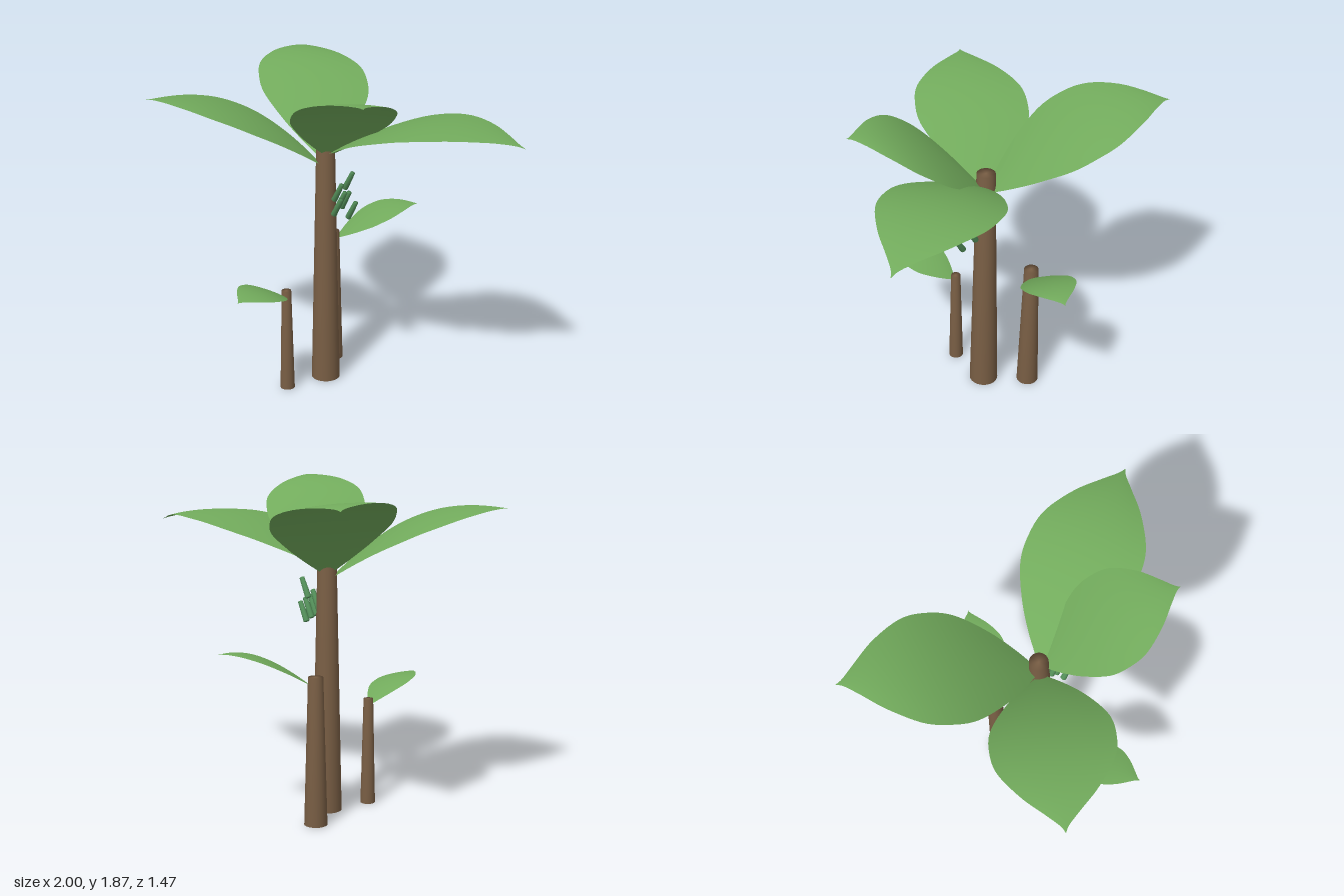
import * as THREE from 'three';
import { mergeVertices } from 'three/addons/utils/BufferGeometryUtils.js';

const mat = (color, side = THREE.FrontSide) => new THREE.MeshStandardMaterial({ color, side });
const bark = mat(0x7a5f45);
const leafGreen = mat(0x72ab5c, THREE.DoubleSide);
const fruitGreen = mat(0x54905a);

// leaf outline: x is the position along the leaf, y the share of its half-width
const outline = new THREE.SplineCurve([[0, 0.02], [0.1, 0.36], [0.22, 0.68], [0.37, 0.95], [0.5, 1],
  [0.63, 0.92], [0.78, 0.61], [0.89, 0.28], [0.96, 0.07], [1, 0]].map(p => new THREE.Vector2(...p)));

// broad leaf: a grid laid along an arching midrib (rise1, rise2 steer its height), with drooping edges
function makeLeaf(name, base, tip, rise1, rise2, halfWidth, twist = 0, droop = 0.02) {
  const a = new THREE.Vector3(...base), b = new THREE.Vector3(...tip);
  const rib = new THREE.CubicBezierCurve3(a, a.clone().lerp(b, 1 / 3).setY(rise1),
    a.clone().lerp(b, 2 / 3).setY(rise2), b);
  const across = new THREE.Vector3(a.z - b.z, 0, b.x - a.x).normalize();
  const geo = new THREE.PlaneGeometry(2, 1, 8, 48);
  const pos = geo.attributes.position;
  for (let i = 0; i < pos.count; i++) {
    const u = pos.getX(i), { x: t, y: w } = outline.getPoint(pos.getY(i) + 0.5);
    const p = rib.getPoint(t).addScaledVector(across, u * w * halfWidth);
    p.y += w * (twist * u - droop * u * u);
    pos.setXYZ(i, p.x, p.y, p.z);
  }
  geo.computeVertexNormals();
  const mesh = new THREE.Mesh(geo, leafGreen);
  mesh.name = name;
  return mesh;
}

// tapered cylinder between two points, shaded smoothly over its rims
function makeRod(name, from, to, rFrom, rTo, sides, material) {
  const a = new THREE.Vector3(...from), b = new THREE.Vector3(...to);
  const axis = b.clone().sub(a);
  const cylinder = new THREE.CylinderGeometry(rTo, rFrom, axis.length(), sides);
  cylinder.deleteAttribute('normal').deleteAttribute('uv');
  const geo = mergeVertices(cylinder);
  geo.computeVertexNormals();
  const mesh = new THREE.Mesh(geo, material);
  mesh.position.copy(a).lerp(b, 0.5);
  mesh.quaternion.setFromUnitVectors(new THREE.Vector3(0, 1, 0), axis.normalize());
  mesh.name = name;
  return mesh;
}

export function createModel() {
  const plant = new THREE.Group();
  plant.name = 'bananaPlant';

  // trunks: x, z, height, base radius, top radius
  const trunks = [
    ['mainTrunk', -0.11, -0.07, 1.49, 0.085, 0.053],
    ['backTrunk', -0.29, -0.27, 0.84, 0.065, 0.042],
    ['frontTrunk', -0.14, 0.2, 0.625, 0.043, 0.028],
  ];
  for (const [name, x, z, h, r0, r1] of trunks)
    plant.add(makeRod(name, [x, 0, z], [x, h, z], r0, r1, 24, bark));

  // crown of four large leaves, one small leaf on each side shoot
  plant.add(
    makeLeaf('backRightLeaf', [-0.11, 1.36, -0.07], [-1, 1.81, -0.61], 1.7, 1.9, 0.325, -0.025),
    makeLeaf('backLeftLeaf', [-0.1, 1.4, -0.07], [1, 1.61, -0.51], 1.68, 1.76, 0.32),
    makeLeaf('frontRightLeaf', [-0.115, 1.34, -0.05], [-0.71, 1.735, 0.73], 1.65, 1.77, 0.325, -0.02),
    makeLeaf('frontLeftLeaf', [-0.09, 1.4, -0.065], [0.59, 1.87, 0.26], 1.68, 1.9, 0.285, 0.025),
    makeLeaf('backShootLeaf', [-0.28, 0.79, -0.29], [-0.04, 0.975, -0.74], 0.92, 1.01, 0.15, -0.01, 0.01),
    makeLeaf('frontShootLeaf', [-0.14, 0.585, 0.21], [-0.01, 0.71, 0.64], 0.7, 0.74, 0.13, 0.02, 0.01),
  );

  // hanging bunch of fruit: lower end of each finger
  const bunch = new THREE.Group();
  bunch.name = 'fruitBunch';
  const fingers = [[0.01, 1.225, -0.115], [-0.025, 1.155, -0.065], [0, 1.11, -0.1],
    [0.025, 1.09, -0.02], [0.08, 1.075, -0.08], [0.01, 1.12, -0.06]];
  for (const [x, y, z] of fingers)
    bunch.add(makeRod('fruit', [x, y, z], [x + 0.065, y + 0.105, z], 0.018, 0.014, 10, fruitGreen));
  plant.add(bunch);
  return plant;
}
